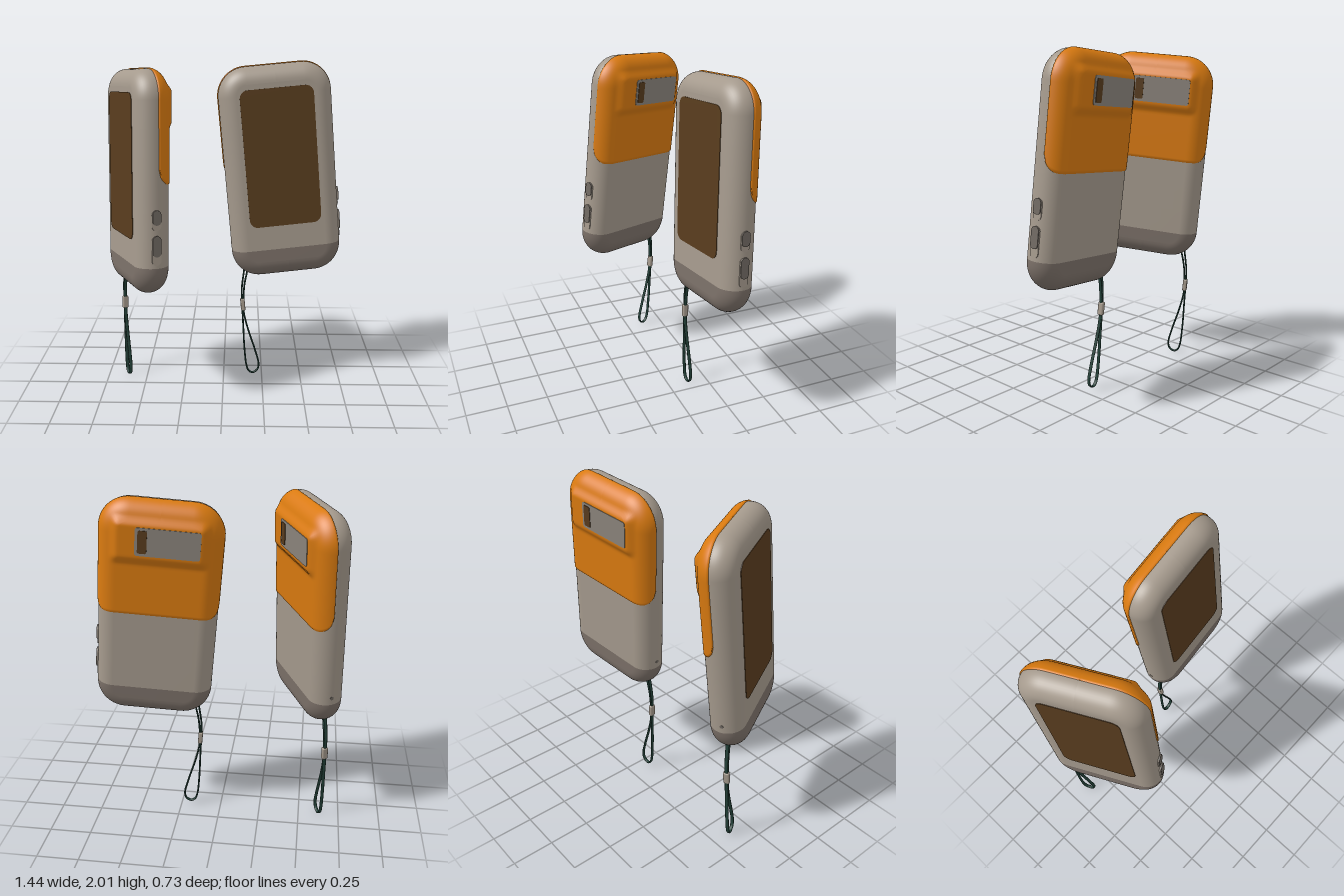
import * as THREE from 'three';
import { RoundedBoxGeometry } from 'three/addons/geometries/RoundedBoxGeometry.js';

const mat = (name, color) => {
  const m = new THREE.MeshStandardMaterial({ color });
  m.name = name;
  return m;
};

// Device half sizes, corner radius and edge radius
const HW = 0.3375, HH = 0.64, CORNER = 0.17, EDGE = 0.1;
const SEAM = -0.463, COVER_PHI = -0.15;
const HALF_PI = Math.PI / 2;
const smooth = THREE.MathUtils.smoothstep;

// Columns across the pillow section: flat back, then rounded edge
function halfColumns(phiEnd, flat, round) {
  const cols = [];
  for (let k = 0; k < flat; k++) cols.push({ phi: -HALF_PI, f: k / flat });
  for (let k = 0; k <= round; k++) {
    cols.push({ phi: -HALF_PI + (phiEnd + HALF_PI) * k / round, f: 1 });
  }
  return cols;
}

// Surface from a straight lower rim up round the corners to the top centre
function pillow(cols, { rows, bottom, off, bump }) {
  const path = [];
  for (let k = 0; k < rows; k++) path.push({ s: k / rows, a: 0, t: 0 });
  for (let k = 0; k <= 14; k++) path.push({ s: 1, a: HALF_PI * k / 14, t: 0 });
  for (let k = 1; k <= 8; k++) path.push({ s: 1, a: HALF_PI, t: k / 8 });

  const pts = [], index = [], n = cols.length;
  const ab = new THREE.Vector3(), ac = new THREE.Vector3();
  // Skip triangles that collapse along the top line
  const face = (a, b, c) => {
    ab.subVectors(pts[b], pts[a]);
    ac.subVectors(pts[c], pts[a]);
    if (ab.cross(ac).length() > 1e-7) index.push(a, b, c);
  };
  path.forEach(({ s, a, t }, i) => {
    cols.forEach(c => {
      const r = EDGE + off(c, i);
      const rc = CORNER - EDGE + r * Math.cos(c.phi);
      const base = HH - CORNER;
      const x = c.side * c.f * ((HW - CORNER) * (1 - t) + rc * Math.cos(a));
      const y = s < 1 ? THREE.MathUtils.lerp(bottom(c), base, s) : base + rc * Math.sin(a);
      pts.push(new THREE.Vector3(x, y, r * Math.sin(c.phi) - bump(x, y, c)));
    });
    if (i === 0) return;
    for (let j = 0; j < n - 1; j++) {
      const p = (i - 1) * n + j, q = i * n + j;
      face(p, q, p + 1);
      face(p + 1, q, q + 1);
    }
  });
  const g = new THREE.BufferGeometry().setFromPoints(pts);
  g.setIndex(index);
  g.computeVertexNormals();
  return g;
}

// Closed body section, starting at a given height
function bodyGeometry(y0) {
  const half = [...halfColumns(HALF_PI, 1, 24), { phi: HALF_PI, f: 0 }];
  const cols = [
    ...half.map(c => ({ ...c, side: 1 })),
    ...half.map(c => ({ ...c, side: -1 })).reverse(),
  ];
  return pillow(cols, { rows: 6, bottom: () => y0, off: () => 0, bump: () => 0 });
}

// Thin back cover with rounded lower corners and a raised camera housing
function coverGeometry() {
  const half = halfColumns(COVER_PHI, 24, 14);
  half.push({ phi: COVER_PHI, f: 1, rim: true });
  const cols = [
    ...half.slice(1).map(c => ({ ...c, side: -1 })).reverse(),
    ...half.map(c => ({ ...c, side: 1 })),
  ];
  const R = 0.09;
  return pillow(cols, {
    rows: 40,
    bottom: c => {
      const d = THREE.MathUtils.clamp(R - EDGE * (COVER_PHI - c.phi), 0, R);
      return R - Math.sqrt(R * R - d * d);
    },
    off: (c, i) => (c.rim || i === 0 ? -0.004 : 0.006),
    bump: (x, y, c) => 0.025 * (1 - smooth(Math.abs(x), 0.22, 0.275))
      * smooth(y, 0.295, 0.35) * (1 - smooth(y, 0.515, 0.57))
      * smooth(-Math.sin(c.phi), 0.3, 0.9),
  });
}

// Rounded rectangular plate centred in x and y, growing along +z
function plateGeometry(w, h, r, depth) {
  const x = w / 2 - r, y = h / 2 - r, pts = [];
  [[x, y], [-x, y], [-x, -y], [x, -y]].forEach(([cx, cy], corner) => {
    for (let k = 0; k < 8; k++) {
      const a = HALF_PI * (corner + (k + 0.5) / 8);
      pts.push(new THREE.Vector2(cx + r * Math.cos(a), cy + r * Math.sin(a)));
    }
  });
  return new THREE.ExtrudeGeometry(new THREE.Shape(pts), { depth, bevelEnabled: false });
}

// Wrist strap path; depth is halved because the mesh is widened into a ribbon
function strapGeometry() {
  const pts = [
    [-0.25, -0.6], [-0.28, -0.71], [-0.296, -0.83], [-0.297, -0.9], [-0.279, -1.015],
    [-0.247, -1.158], [-0.231, -1.265], [-0.245, -1.302], [-0.276, -1.316],
    [-0.3, -1.3], [-0.311, -1.26], [-0.314, -1.13], [-0.309, -0.98],
    [-0.304, -0.83], [-0.298, -0.73], [-0.272, -0.6],
  ].map(([x, y]) => new THREE.Vector3(x, y, 0.014 * (y + 0.6)));
  return new THREE.TubeGeometry(new THREE.CatmullRomCurve3(pts), 120, 0.0055, 8);
}

export function createModel() {
  const shell = mat('warm grey shell', 0xa59a8d);
  const base = mat('dark grey base', 0x7b7068);
  const orange = mat('orange cover', 0xd97a10);
  const brown = mat('dark brown glass', 0x583c1e);
  const button = mat('button grey', 0x716a63);
  const windowGrey = mat('window grey', 0x8b847c);
  const green = mat('dark green cord', 0x223f37);

  function createDevice(name) {
    const device = new THREE.Group();
    device.name = name;
    const add = (part, geometry, material, x = 0, y = 0, z = 0) => {
      const m = new THREE.Mesh(geometry, material);
      m.name = part;
      m.position.set(x, y, z);
      device.add(m);
      return m;
    };

    // Housing
    add('body', bodyGeometry(SEAM), shell);
    add('bottomCap', bodyGeometry(-SEAM), base).rotation.z = Math.PI;
    add('backCover', coverGeometry(), orange);
    add('screen', plateGeometry(0.437, 0.825, 0.05, 0.006), brown, 0, 0.096, 0.097);

    // Camera window and lens
    add('cameraWindow', plateGeometry(0.35, 0.155, 0.015, 0.006), windowGrey, -0.045, 0.437, -0.134);
    add('lens', plateGeometry(0.05, 0.125, 0.01, 0.006), brown, 0.09, 0.437, -0.137);

    // Side buttons sitting in longer slots
    for (const [slotY, slotH, y, h] of [[-0.188, 0.115, -0.172, 0.085], [-0.36, 0.17, -0.335, 0.12]]) {
      add('buttonSlot', plateGeometry(0.054, slotH, 0.026, 0.009), shell, 0.33, slotY, 0).rotation.y = HALF_PI;
      add('sideButton', plateGeometry(0.05, h, 0.024, 0.02), button, 0.326, y, 0).rotation.y = HALF_PI;
    }
    add('sideHole', new THREE.CylinderGeometry(0.011, 0.011, 0.006, 16), button, -HW + 0.002, -0.42, 0)
      .rotation.z = HALF_PI;

    // Wrist strap
    add('wristStrap', strapGeometry(), green).scale.z = 2;
    add('strapBead', new RoundedBoxGeometry(0.027, 0.08, 0.036, 3, 0.008), shell, -0.3, -0.833, -0.007);
    return device;
  }

  const model = new THREE.Group();
  model.name = 'handheldDevices';
  const place = (name, x, y, z, yaw) => {
    const d = createDevice(name);
    d.rotation.set(-0.055, yaw, 0.087, 'YXZ');
    d.position.set(x, y, z);
    model.add(d);
  };
  place('turnedDevice', -0.505, 1.34, 0, -1.126);
  place('frontDevice', 0.345, 1.355, -0.185, 0.087);
  return model;
}
